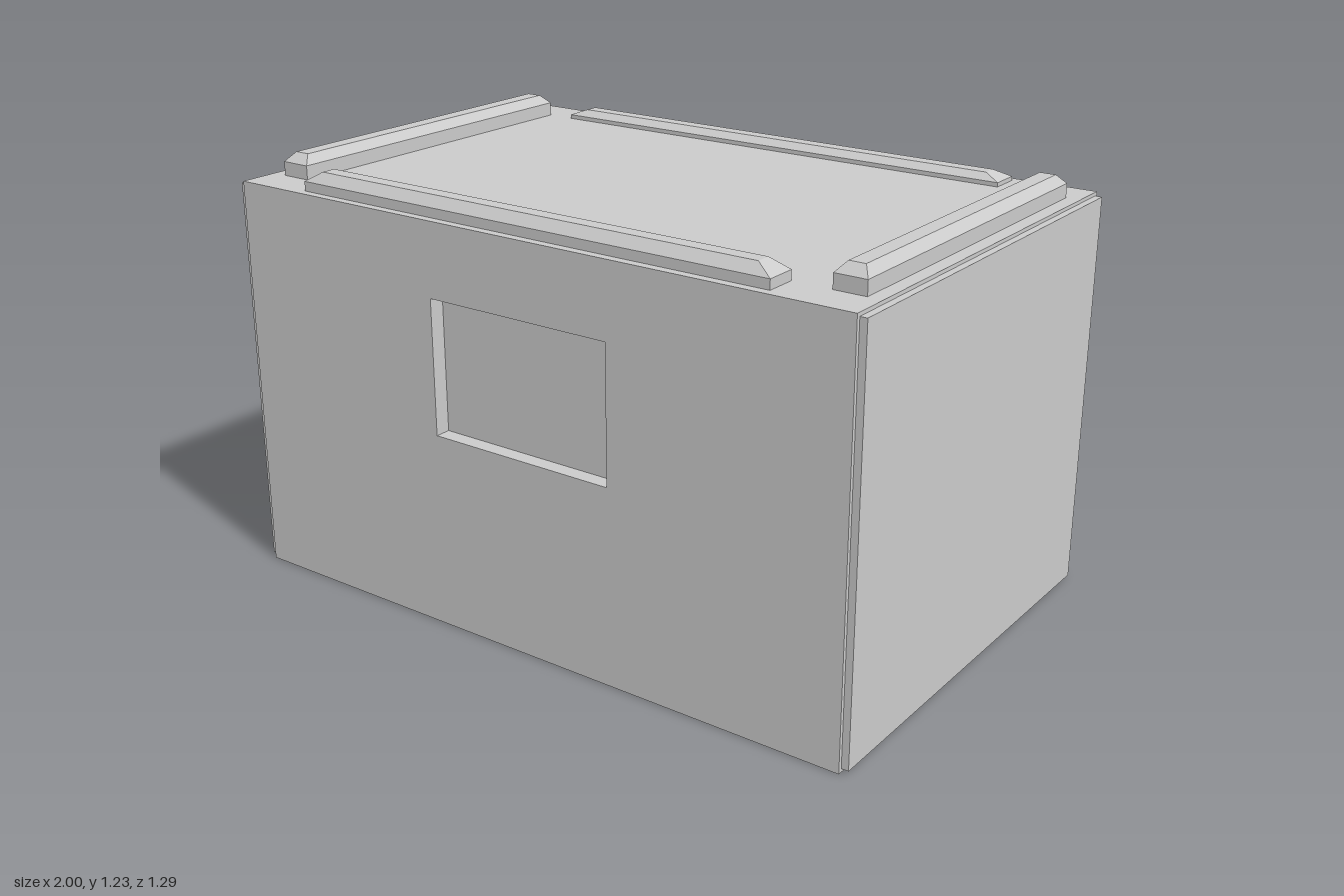
import * as THREE from 'three';

const W = 1.96, H = 1.16, D = 1.286, LIP = 0.045;

export function createModel() {
  const group = new THREE.Group();
  const material = new THREE.MeshStandardMaterial({ color: 0xcccccc, flatShading: true });

  function add(name, geometry, x, y, z) {
    const mesh = new THREE.Mesh(geometry, material);
    mesh.name = name;
    mesh.position.set(x, y, z);
    group.add(mesh);
    return mesh;
  }

  // Block with its upper edges bevelled: the top ring of vertices is pulled in
  function railGeometry(w, h, d, insetX, insetZ, bevel) {
    const g = new THREE.BoxGeometry(w, h, d, 1, 2, 1);
    const p = g.attributes.position;
    for (let i = 0; i < p.count; i++) {
      const y = p.getY(i);
      if (y > h / 4) {
        p.setX(i, p.getX(i) - Math.sign(p.getX(i)) * insetX);
        p.setZ(i, p.getZ(i) - Math.sign(p.getZ(i)) * insetZ);
      } else if (y > -h / 4) p.setY(i, h / 2 - bevel);
    }
    g.translate(0, h / 2, 0);
    g.computeVertexNormals();
    return g;
  }

  // Solid core of the case
  add('caseCore', new THREE.BoxGeometry(W, H, D - 2 * LIP), 0, H / 2, 0);

  // Front and back walls, each with a rectangular recess
  const wall = new THREE.Shape();
  wall.moveTo(-W / 2, 0).lineTo(W / 2, 0).lineTo(W / 2, H).lineTo(-W / 2, H).closePath();
  const recess = new THREE.Path();
  recess.moveTo(-0.287, 0.565).lineTo(-0.287, 0.95).lineTo(0.287, 0.95).lineTo(0.287, 0.565).closePath();
  wall.holes.push(recess);
  const wallGeometry = new THREE.ExtrudeGeometry(wall, { depth: LIP, bevelEnabled: false });
  add('frontWall', wallGeometry, 0, 0, D / 2 - LIP);
  add('backWall', wallGeometry, 0, 0, -D / 2 + LIP).rotation.y = Math.PI;

  // Thin side panels
  for (const s of [-1, 1]) {
    add(s > 0 ? 'leftPanel' : 'rightPanel', new THREE.BoxGeometry(0.02, 1.14, 1.264), s * 0.99, H / 2, 0);
  }

  // Bevelled rails on the lid; the back one sits lower
  add('frontRail', railGeometry(1.5, 0.055, 0.09, 0.048, 0.024, 0.028), -0.01, H, 0.573);
  add('backRail', railGeometry(1.5, 0.055, 0.09, 0.048, 0.024, 0.018), -0.01, H - 0.025, -0.573);
  for (const x of [-0.89, 0.895]) {
    add(x > 0 ? 'leftRail' : 'rightRail', railGeometry(0.09, 0.066, 1.06, 0.022, 0.028, 0.026), x, H, 0);
  }

  return group;
}
